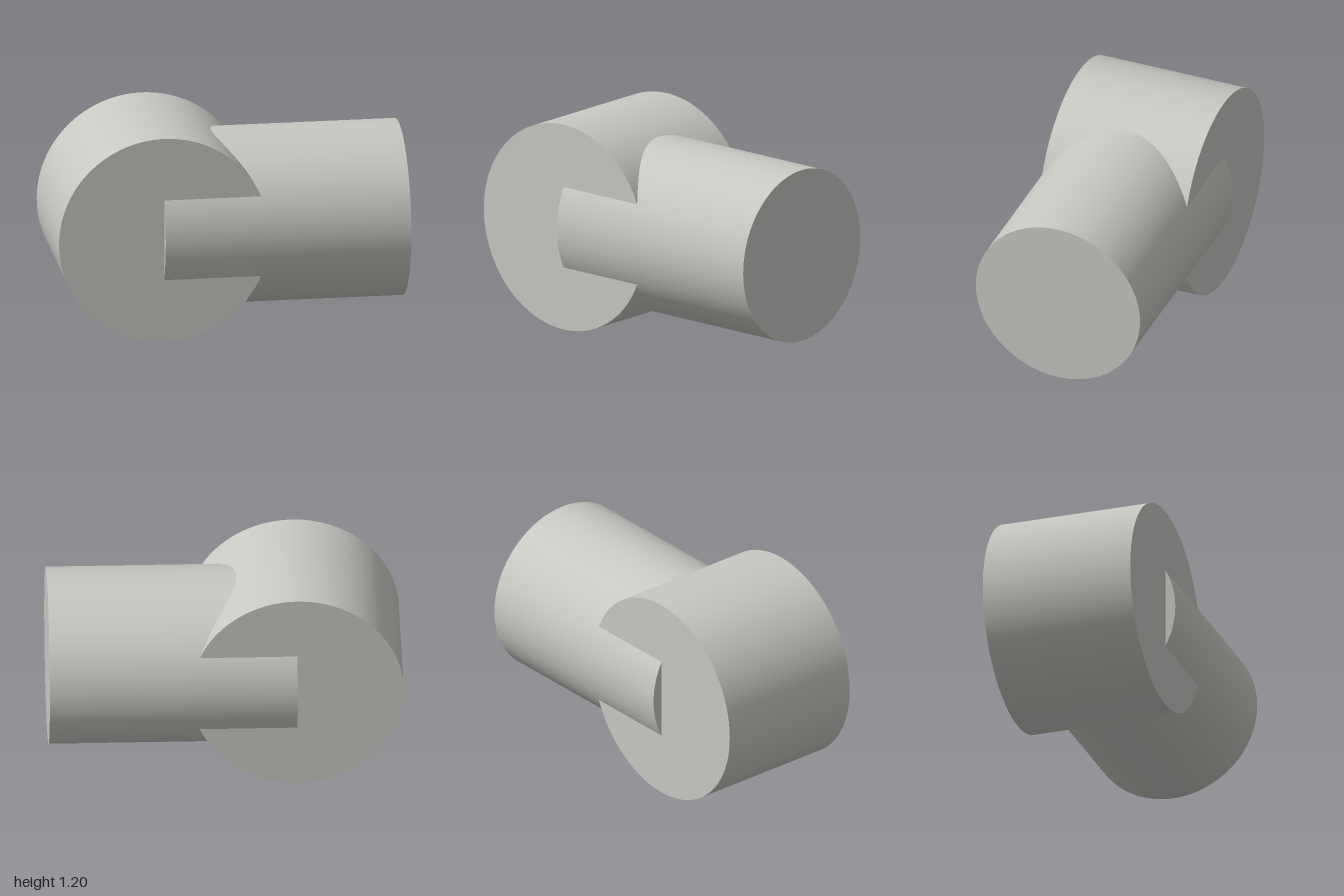
import * as THREE from 'three';

export function createModel() {
  const group = new THREE.Group();
  const grey = new THREE.MeshStandardMaterial({ color: 0xc8c8c3 });
  grey.name = 'light grey';

  const addCylinder = (name, radius, length, x) => {
    const mesh = new THREE.Mesh(new THREE.CylinderGeometry(radius, radius, length, 128), grey);
    mesh.name = name;
    mesh.position.set(x, 0.6, 0);
    group.add(mesh);
    return mesh;
  };

  // Wide drum lying front to back
  addCylinder('drum', 0.6, 0.882, -0.4).rotation.x = Math.PI / 2;

  // Shaft running sideways out of the drum's centre
  addCylinder('shaft', 0.5, 1.4, 0.3).rotation.z = -Math.PI / 2;

  return group;
}
